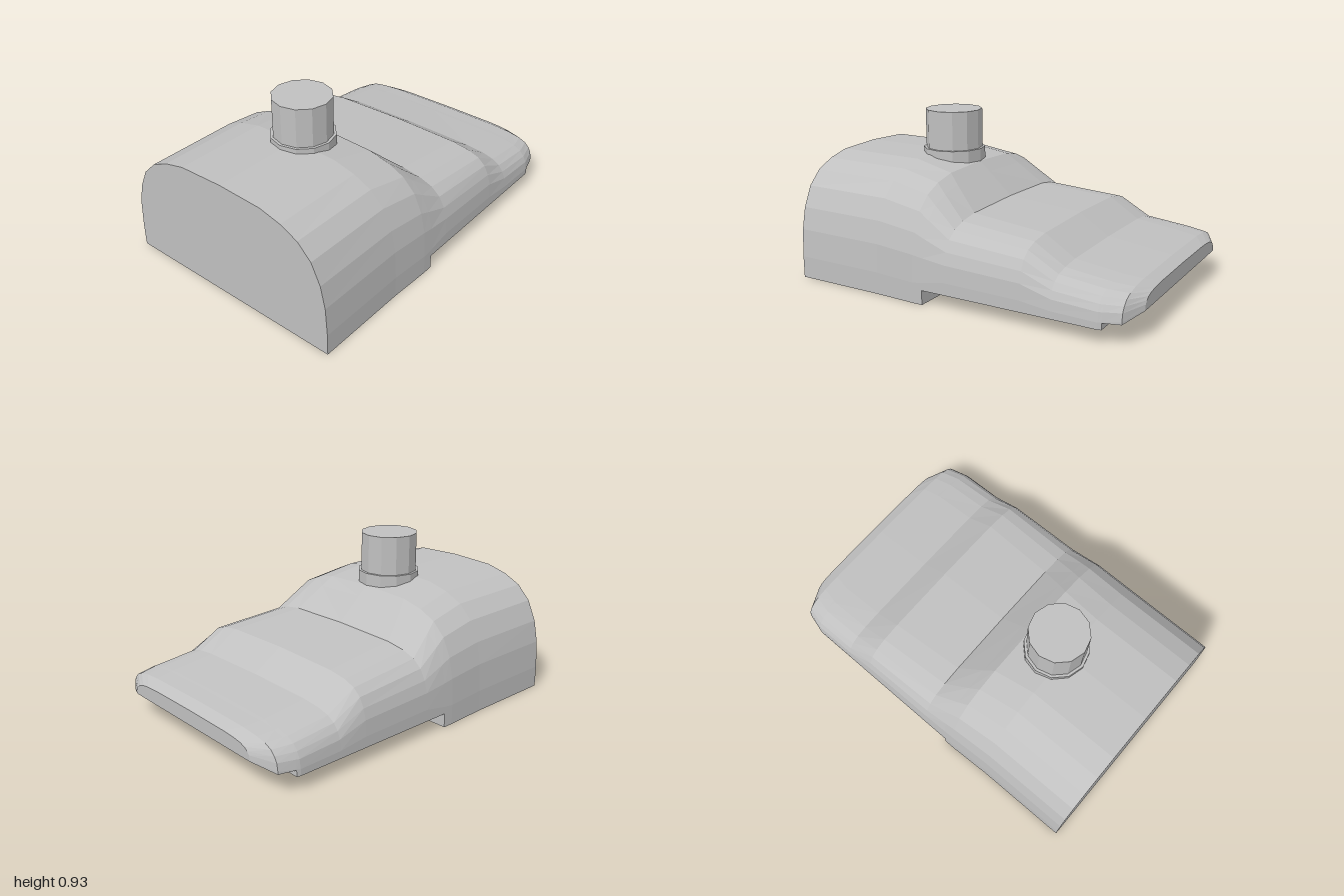
import * as THREE from 'three';

const grey = new THREE.MeshStandardMaterial({ color: 0xc0c0c0 });
grey.name = 'plain grey';

// Half arch as [fraction of half width, fraction of height], sill to crown
const ROUND = [[1, 0.18], [0.985, 0.41], [0.945, 0.59], [0.865, 0.755], [0.745, 0.87], [0.59, 0.94], [0.4, 0.985], [0, 1]];
const SQUARE = [[1, 0.18], [0.99, 0.43], [0.965, 0.6], [0.925, 0.75], [0.86, 0.86], [0.76, 0.93], [0.6, 0.975], [0, 1]];

// Stations: z, underside, arch base, top, half width, squareness
const STATIONS = [
  [1, 0, 0, 0.685, 0.665, 0],
  [0.47, 0, 0, 0.68, 0.668, 0],
  [0.23, 0, 0, 0.635, 0.678, 0.2],
  [0.17, 0, 0.02, 0.581, 0.678, 0.4],
  [0.17, 0.08, 0.02, 0.581, 0.678, 0.4],
  [0.03, 0.08, 0.08, 0.455, 0.678, 0.8],
  [-0.41, 0.08, 0.08, 0.42, 0.678, 1],
  [-0.58, 0.08, 0.08, 0.31, 0.678, 1],
  [-0.83, 0.08, 0.08, 0.279, 0.678, 1],
  [-0.85, 0.08, 0.085, 0.276, 0.673, 1],
  [-0.85, 0.115, 0.085, 0.276, 0.673, 1],
  [-0.94, 0.115, 0.1, 0.265, 0.648, 1],
  [-1, 0.15, 0.14, 0.235, 0.515, 1],
];

// Closed cross-section: right sill, over the crown, left sill
function section([z, under, base, top, half, square]) {
  const right = [[half, under, z]];
  ROUND.forEach(([x, y], i) => {
    const px = THREE.MathUtils.lerp(x, SQUARE[i][0], square);
    const py = THREE.MathUtils.lerp(y, SQUARE[i][1], square);
    right.push([px * half, base + py * (top - base), z]);
  });
  const left = right.slice(0, -1).reverse().map(([x, y]) => [-x, y, z]);
  return right.concat(left);
}

function loft(rings) {
  const n = rings[0].length;
  const index = [];
  for (let r = 0; r < rings.length - 1; r++) {
    for (let j = 0; j < n; j++) {
      const k = (j + 1) % n;
      const a = r * n + j, b = r * n + k, c = b + n, d = a + n;
      index.push(a, d, c, a, c, b);
    }
  }
  // Flat ends
  const last = (rings.length - 1) * n;
  for (let j = 1; j < n - 1; j++) {
    index.push(0, j, j + 1, last, last + j + 1, last + j);
  }
  const geometry = new THREE.BufferGeometry();
  geometry.setAttribute('position', new THREE.Float32BufferAttribute(rings.flat(2), 3));
  geometry.setIndex(index);
  return geometry;
}

// Faceted mesh with one normal per face
function faceted(name, geometry) {
  const flat = geometry.toNonIndexed();
  flat.computeVertexNormals();
  const mesh = new THREE.Mesh(flat, grey);
  mesh.name = name;
  return mesh;
}

function post(name, radius, bottom, top) {
  const mesh = faceted(name, new THREE.CylinderGeometry(radius, radius, top - bottom, 12));
  mesh.position.set(0, (bottom + top) / 2, 0.405);
  return mesh;
}

export function createModel() {
  const model = new THREE.Group();
  model.name = 'steppedHousing';
  model.add(faceted('body', loft(STATIONS.map(section))));
  model.add(post('collar', 0.177, 0.62, 0.705));
  model.add(post('stack', 0.162, 0.65, 0.925));
  return model;
}
